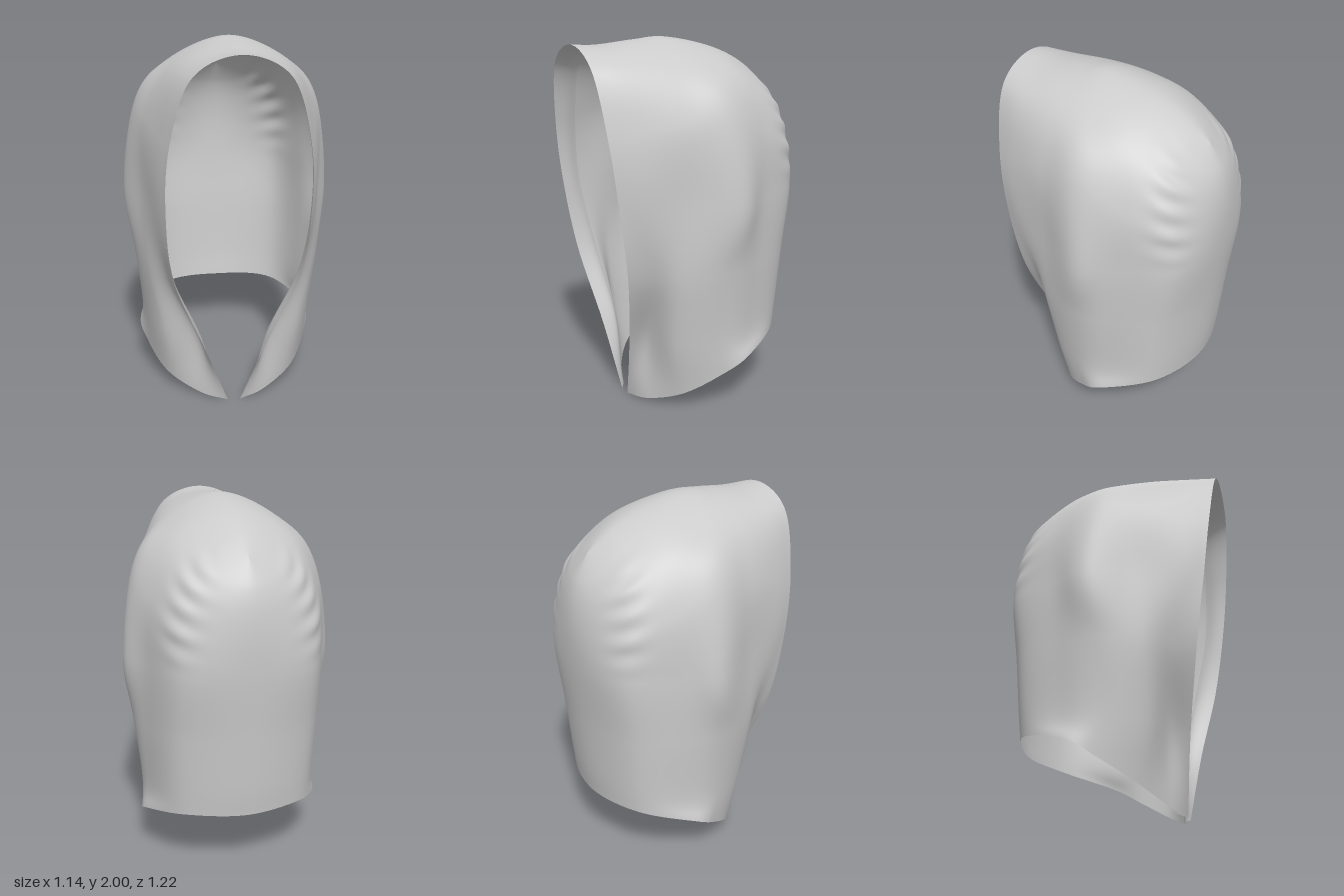
import * as THREE from 'three';
import { mergeVertices } from 'three/addons/utils/BufferGeometryUtils.js';

// Left half arches, from the face opening to the back seam; each runs hem to crown.
const ARCHES = [
  [[.035, 0, .35], [.175, .38, .4], [.33, .8, .475], [.367, 1.2, .535], [.342, 1.55, .575], [.235, 1.87, .605], [0, 1.975, .61]],
  [[.18, .02, .29], [.205, .38, .3], [.365, .8, .35], [.41, 1.2, .42], [.385, 1.57, .44], [.27, 1.87, .45], [0, 1.97, .46]],
  [[.36, .1, .17], [.385, .41, .23], [.46, .8, .22], [.475, 1.2, .19], [.45, 1.6, .2], [.295, 1.88, .22], [0, 1.99, .25]],
  [[.465, .21, 0], [.475, .44, .04], [.525, .82, 0], [.57, 1.18, -.06], [.49, 1.66, -.03], [.31, 1.87, 0], [0, 2, .08]],
  [[.5, .31, -.17], [.475, .45, -.17], [.49, .82, -.2], [.49, 1.18, -.24], [.455, 1.54, -.25], [.31, 1.81, -.22], [0, 1.95, -.17]],
  [[.33, .39, -.44], [.34, .54, -.45], [.345, .85, -.48], [.34, 1.2, -.525], [.32, 1.48, -.5], [.225, 1.7, -.45], [0, 1.87, -.36]],
  [[0, .39, -.53], [0, .55, -.55], [0, .85, -.575], [0, 1.2, -.605], [0, 1.45, -.605], [0, 1.63, -.57], [0, 1.77, -.49]],
];
const LAST = ARCHES.length - 1;

const flip = (p) => new THREE.Vector3(-p.x, p.y, p.z);
const mirrored = (pts) => [...pts, ...pts.slice(0, -1).reverse().map(flip)];
const spline = (pts) => new THREE.CatmullRomCurve3(pts, false, 'catmullrom', 0.5);
const arches = ARCHES.map((a) => spline(mirrored(a.map((p) => new THREE.Vector3(...p)))));

// Curve around the head at height s: left edge, back seam, right edge
const around = (s) => spline(mirrored(arches.map((a) => a.getPoint(s / 2))));

// Direction from the middle of the head out through p
function outward(p) {
  return new THREE.Vector3(p.x, p.y - Math.min(p.y, 1.3), p.z).normalize();
}

// Small gathers where the crown panel meets the back
function gather(p, s, col) {
  const d = (col - 4.9) / 0.3;
  const band = Math.exp(-d * d) * THREE.MathUtils.smoothstep(s, 0.48, 0.62) * (1 - THREE.MathUtils.smoothstep(s, 0.8, 0.93));
  return p.addScaledVector(outward(p), 0.006 * band * Math.sin(s * 80 + col * 3));
}

// Sweep a sheet over height (s) and columns (t, 0..1 around the head)
function sheet(rows, cols, t0, t1, shape) {
  const pos = [], index = [];
  for (let i = 0; i <= rows; i++) {
    const s = i / rows, curve = around(s);
    for (let j = 0; j <= cols; j++) {
      const t = t0 + (t1 - t0) * j / cols;
      const col = LAST * (1 - Math.abs(1 - 2 * t));
      const p = shape(curve.getPoint(t), s, col);
      if (i === rows) p.x = 0;
      pos.push(p.x, p.y, p.z);
      if (i < rows && j < cols) {
        const a = i * (cols + 1) + j, b = a + cols + 1;
        index.push(a, a + 1, b, a + 1, b + 1, b);
      }
    }
  }
  const geo = new THREE.BufferGeometry();
  geo.setAttribute('position', new THREE.Float32BufferAttribute(pos, 3));
  geo.setIndex(index);
  const merged = mergeVertices(geo, 1e-5);
  merged.computeVertexNormals();
  return merged;
}

export function createModel() {
  const group = new THREE.Group();
  group.name = 'hood';
  const cloth = new THREE.MeshStandardMaterial({ color: 0xcccccc, side: THREE.DoubleSide });
  const add = (name, geo) => {
    const mesh = new THREE.Mesh(geo, cloth);
    mesh.name = name;
    group.add(mesh);
  };

  // Main cloth
  add('hoodShell', sheet(120, 144, 0, 1, gather));

  // Turned-in facing behind the face opening, one strip per side
  const facing = (p, s, col) => p.addScaledVector(outward(p), -0.014 * Math.sin(Math.PI * Math.min(1, col)));
  const width = 1 / (2 * LAST);
  add('leftFacing', sheet(80, 8, 0, width, facing));
  add('rightFacing', sheet(80, 8, 1 - width, 1, facing));

  return group;
}
